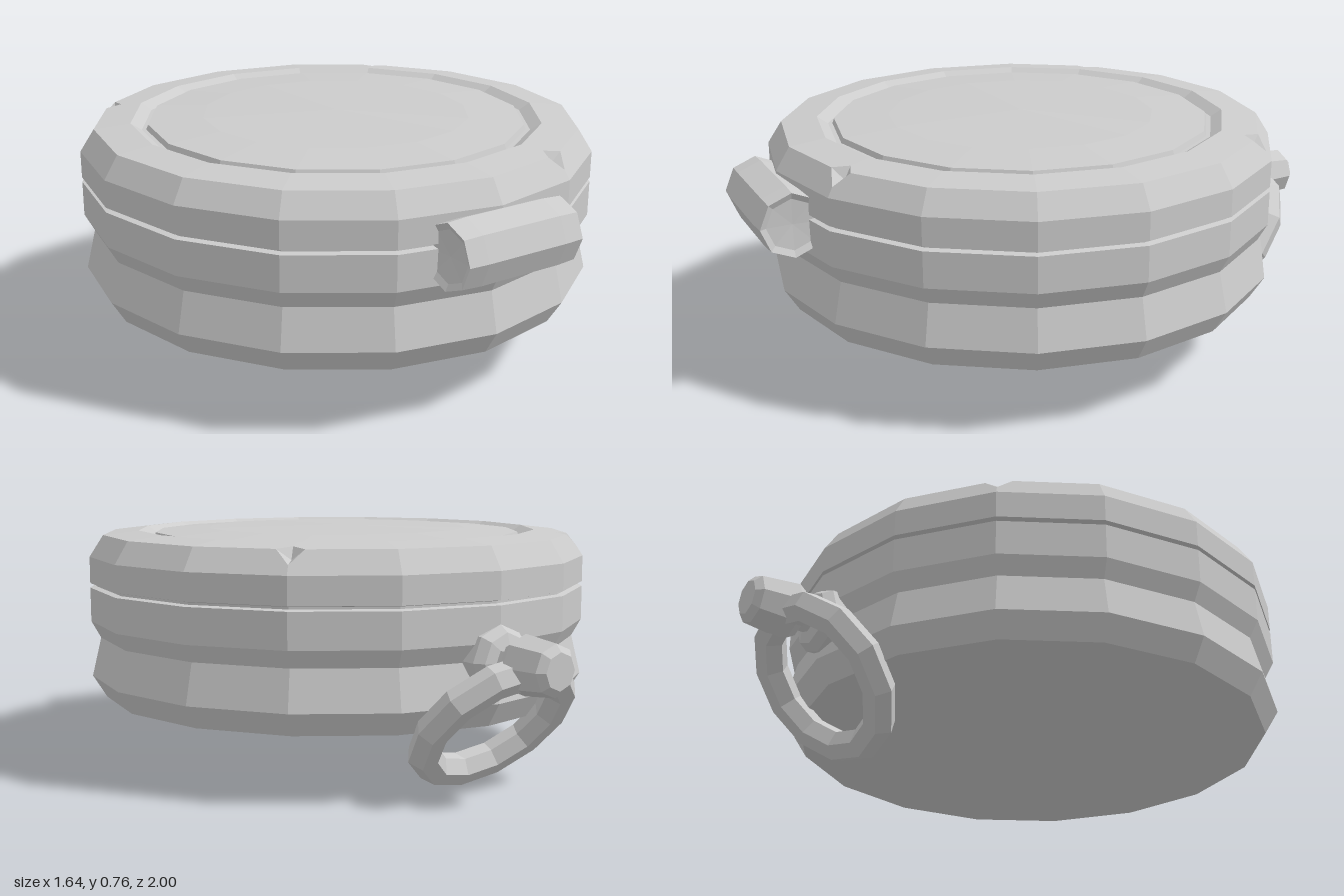
import * as THREE from 'three';

const SIDES = 16;
const BODY_Z = 0.065;
const material = new THREE.MeshStandardMaterial({ color: 0xcccccc, flatShading: true });

function mesh(name, geometry, x = 0, y = 0, z = 0) {
  const m = new THREE.Mesh(geometry, material);
  m.name = name;
  m.position.set(x, y, z);
  return m;
}

function lathe(points, sides) {
  return new THREE.LatheGeometry(points.map(([r, y]) => new THREE.Vector2(r, y)), sides);
}

// Sixteen-sided case with small dents in the top edge at the given corners
function caseGeometry(profile, edgeRow, dentCorners, dent) {
  const corner = (k) => {
    const a = (k / SIDES) * Math.PI * 2;
    return new THREE.Vector2(Math.sin(a), Math.cos(a));
  };
  const columns = [];
  for (let k = 0; k < SIDES; k++) {
    const dented = dentCorners.includes(k);
    if (dented) columns.push({ dir: corner(k).lerp(corner(k - 1), 0.14) });
    columns.push({ dir: corner(k), dented });
    if (dented) columns.push({ dir: corner(k).lerp(corner(k + 1), 0.14) });
  }
  const n = columns.length;
  const positions = [];
  const index = [];
  profile.forEach((point, j) => {
    for (const { dir, dented } of columns) {
      const [r, y] = dented && j === edgeRow ? dent : point;
      positions.push(dir.x * r, y, dir.y * r);
    }
  });
  const isDent = (i, j) => j === edgeRow && columns[i].dented;
  for (let j = 0; j < profile.length - 1; j++) {
    for (let i = 0; i < n; i++) {
      const i2 = (i + 1) % n;
      const a = j * n + i, b = j * n + i2, c = b + n, d = a + n;
      if (profile[j][0] === 0) index.push(b, c, d);
      // the diagonal avoids the dent so that it becomes a diamond
      else if (isDent(i, j) || isDent(i2, j + 1)) index.push(a, b, d, b, c, d);
      else index.push(a, b, c, a, c, d);
    }
  }
  const g = new THREE.BufferGeometry();
  g.setAttribute('position', new THREE.Float32BufferAttribute(positions, 3));
  g.setIndex(index);
  g.computeVertexNormals();
  return g;
}

export function createModel() {
  const group = new THREE.Group();
  group.name = 'pocketCase';

  // Case: waisted base, thin seam, lid with a recessed rim
  const profile = [
    [0, 0.2], [0.66, 0.2], [0.775, 0.207], [0.82, 0.28], [0.79, 0.405],
    [0.82, 0.46], [0.82, 0.57], [0.8, 0.574], [0.8, 0.581], [0.82, 0.585],
    [0.82, 0.67], [0.802, 0.698], [0.775, 0.74], [0.73, 0.745],
    [0.66, 0.753], [0.625, 0.73], [0.59, 0.73],
  ];
  group.add(mesh('case', caseGeometry(profile, 12, [1, 6, 10], [0.755, 0.708]), 0, 0, BODY_Z));

  // Shallow domed cover
  const cover = lathe([[0.615, 0.72], [0.605, 0.746], [0.43, 0.758], [0, 0.765]], SIDES);
  group.add(mesh('domedCover', cover, 0, 0, BODY_Z));

  // Barrel-shaped latch at the front
  const latch = lathe([
    [0, -0.19], [0.08, -0.195], [0.1, -0.205], [0.104, -0.14],
    [0.104, 0.14], [0.1, 0.205], [0.08, 0.195], [0, 0.19],
  ], 8).rotateZ(-Math.PI / 2);
  group.add(mesh('latch', latch, 0, 0.563, 0.896));

  // Collar, stem and knob at the back
  const crown = lathe([
    [0.1, 0.66], [0.105, 0.755], [0.085, 0.785], [0.05, 0.795], [0.05, 0.825],
    [0.075, 0.835], [0.09, 0.86], [0.077, 0.98], [0.055, 1], [0, 1],
  ], 8).rotateX(-Math.PI / 2);
  group.add(mesh('crown', crown, 0, 0.41, 0));

  // Hanging ring leaning in under the case
  const ring = mesh('hangingRing', new THREE.TorusGeometry(0.23, 0.05, 6, 12), 0, 0.222, -0.727);
  ring.rotation.x = -0.72;
  group.add(ring);

  return group;
}
